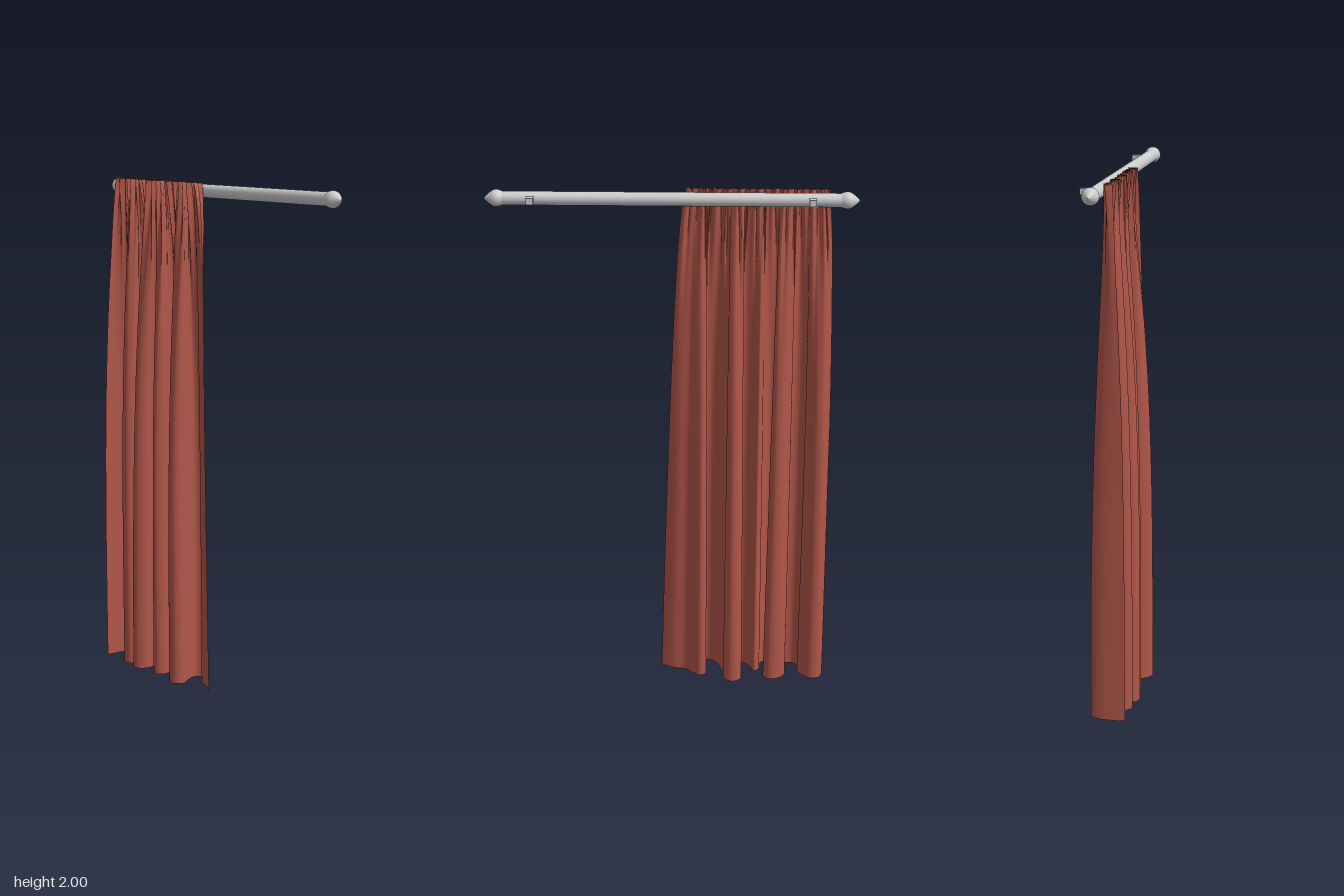
import * as THREE from 'three';

const ROD_Y = 1.967, ROD_Z = -0.038;

// Fold line of the hem as (x, z) pairs
const HEM = [
  [-0.612, 0.074], [-0.612, 0.03], [-0.608, -0.02], [-0.592, -0.055], [-0.56, -0.06],
  [-0.53, -0.035], [-0.51, 0.005], [-0.515, 0.045], [-0.49, 0.075], [-0.455, 0.074],
  [-0.44, 0.045], [-0.458, 0.01], [-0.455, -0.035], [-0.425, -0.068], [-0.39, -0.07],
  [-0.37, -0.04], [-0.4, 0.0], [-0.432, 0.04], [-0.42, 0.08], [-0.385, 0.092],
  [-0.358, 0.065], [-0.355, 0.02], [-0.335, -0.005], [-0.32, 0.03], [-0.295, 0.068],
  [-0.262, 0.074], [-0.245, 0.04], [-0.27, -0.01], [-0.283, -0.06], [-0.265, -0.093],
  [-0.235, -0.098], [-0.21, -0.07], [-0.217, -0.02], [-0.195, 0.025], [-0.18, 0.07],
  [-0.145, 0.098], [-0.112, 0.092], [-0.1, 0.06], [-0.125, 0.02], [-0.14, -0.025],
  [-0.118, -0.048], [-0.088, -0.03], [-0.055, 0.005], [-0.005, 0.018], [0.042, 0.045],
];

// Cloth sheet: tight gathers at the top relax into the wide hem folds
function curtainGeometry() {
  const cols = 520, rows = 64;
  const hem = new THREE.SplineCurve(HEM.map(([x, z]) => new THREE.Vector2(x, z)));
  const points = hem.getSpacedPoints(cols);
  const geo = new THREE.PlaneGeometry(1, 1, cols, rows);
  const pos = geo.attributes.position;
  const { lerp } = THREE.MathUtils;

  for (let j = 0; j <= rows; j++) {
    const t = (j / rows) ** 1.6; // finer rows near the heading
    const spreadX = t ** 0.45;
    const spreadFront = 1 - (1 - t) ** 3.2, spreadBack = 1 - (1 - t) ** 2.3; // the front billows sooner
    const gather = Math.exp(-t / 0.11);
    const soft = Math.exp(-t / 0.3) * Math.min(1, t / 0.08); // longer, softer creases
    for (let i = 0; i <= cols; i++) {
      const u = i / cols, h = points[i];
      const phase = u * Math.PI * 2;
      const wander = 1.5 * Math.sin(phase * 3) + 0.8 * Math.sin(phase * 5 + 2);
      const pleat = 0.65 * Math.sin(phase * 22 + wander) + 0.35 * Math.sin(phase * 37 + 1);
      const topX = lerp(-0.591, -0.068, u);
      const bulge = -0.014 * Math.sin(Math.PI * t ** 0.7) * (1 - u) ** 4;
      const crease = phase * 13 + wander;
      const x = lerp(topX, h.x, spreadX) + bulge
        + 0.006 * gather * Math.sin(phase * 22 + wander + 1.2) + 0.003 * soft * Math.cos(crease);
      const z = lerp(0.01, h.y, h.y > 0.01 ? spreadFront : spreadBack)
        + 0.02 * gather * pleat + 0.005 * soft * Math.sin(crease);
      pos.setXYZ(j * (cols + 1) + i, x, lerp(2, 0.005, t), z);
    }
  }
  geo.computeVertexNormals();
  return geo;
}

export function createModel() {
  const group = new THREE.Group();
  const metal = new THREE.MeshStandardMaterial({ color: 0xcccccc });
  const cloth = new THREE.MeshStandardMaterial({ color: 0xb15649, side: THREE.DoubleSide });

  const add = (name, geometry, material, x, y, z) => {
    const mesh = new THREE.Mesh(geometry, material);
    mesh.name = name;
    mesh.position.set(x, y, z);
    group.add(mesh);
    return mesh;
  };

  add('curtain', curtainGeometry(), cloth, 0, 0, 0);

  // Rod along x
  const rod = add('rod', new THREE.CylinderGeometry(0.026, 0.026, 1.3, 32), metal, 0, ROD_Y, ROD_Z);
  rod.rotation.z = Math.PI / 2;

  // Rounded, pointed finials and wall brackets at both ends
  const finialProfile = [
    [0.024, -0.032], [0.029, -0.022], [0.032, -0.01], [0.032, 0],
    [0.029, 0.009], [0.022, 0.019], [0.013, 0.03], [0.004, 0.039], [0, 0.041],
  ].map(([r, y]) => new THREE.Vector2(r, y));
  const finialGeo = new THREE.LatheGeometry(finialProfile, 32);
  for (const [side, sign] of [['left', 1], ['right', -1]]) {
    const finial = add(side + 'Finial', finialGeo, metal, sign * 0.659, ROD_Y, ROD_Z);
    finial.rotation.z = -sign * Math.PI / 2;
    add(side + 'Bracket', new THREE.BoxGeometry(0.027, 0.024, 0.045), metal, sign * 0.525, ROD_Y, -0.077);
  }
  return group;
}
